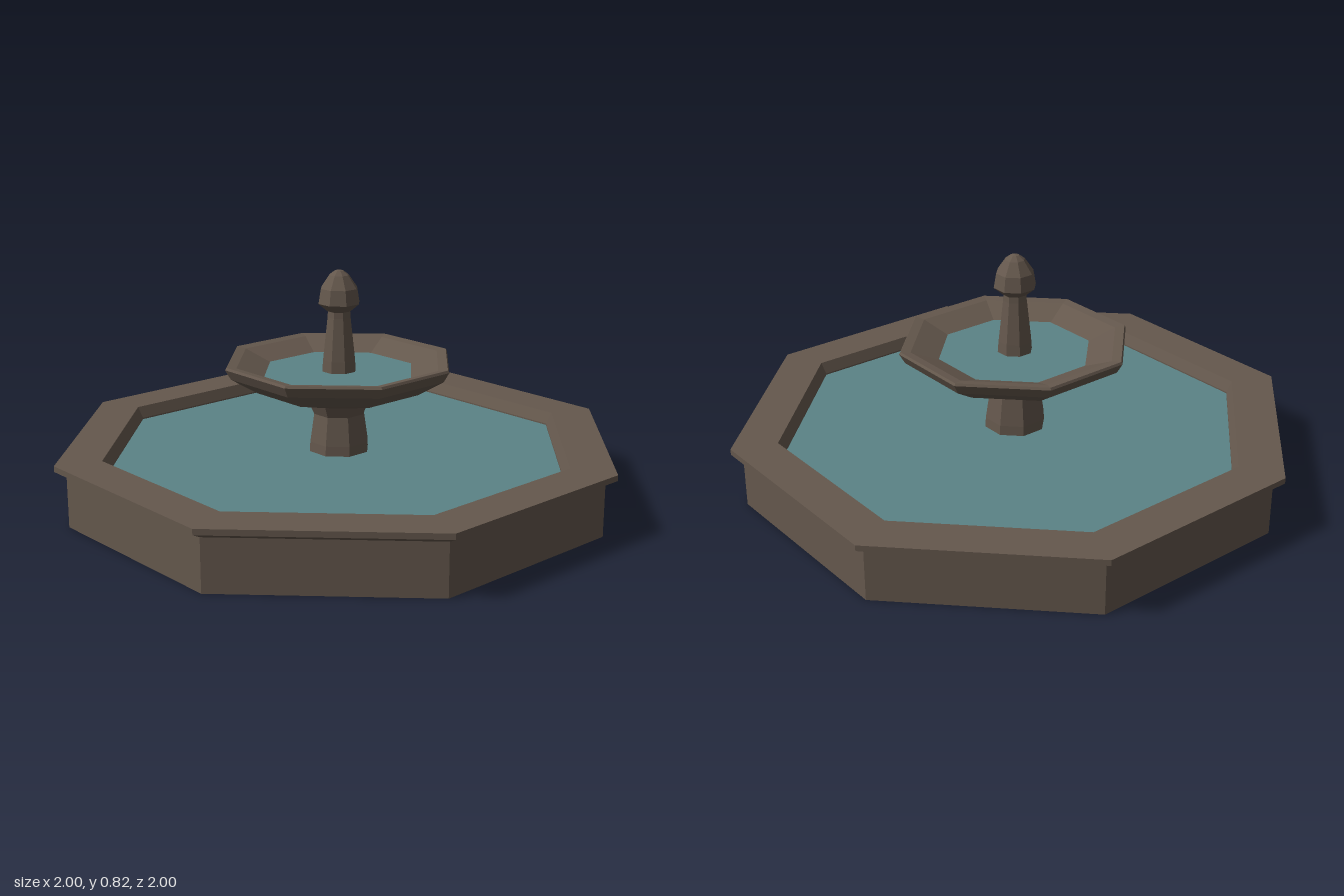
import * as THREE from 'three';

const SIDES = 8;

export function createModel() {
  const stone = new THREE.MeshStandardMaterial({ color: 0x65584d, flatShading: true, side: THREE.DoubleSide });
  stone.name = 'brown stone';
  const water = new THREE.MeshStandardMaterial({ color: 0x5b8386, flatShading: true });
  water.name = 'teal water';

  const fountain = new THREE.Group();
  fountain.name = 'fountain';

  // Eight-sided stone part turned from a [radius, height] profile
  const turned = (name, profile) => {
    const points = profile.map(([r, y]) => new THREE.Vector2(r, y));
    const mesh = new THREE.Mesh(new THREE.LatheGeometry(points, SIDES), stone);
    mesh.name = name;
    fountain.add(mesh);
  };

  // Flat octagonal water surface
  const pool = (name, radius, y) => {
    const mesh = new THREE.Mesh(new THREE.CircleGeometry(radius, SIDES).rotateX(-Math.PI / 2), water);
    mesh.name = name;
    mesh.position.y = y;
    fountain.add(mesh);
  };

  // Basin shell: outer wall, overhanging rim, inner wall and raised floor, open below
  turned('basin', [
    [0.96, 0], [0.96, 0.18], [1, 0.2], [1, 0.22],
    [0.84, 0.22], [0.82, 0.18], [0.82, 0.07], [0, 0.07],
  ]);
  pool('basinWater', 0.82, 0.175);

  // Column with a flared head
  turned('column', [[0.115, 0.07], [0.107, 0.21], [0.092, 0.31], [0.112, 0.355]]);

  // Upper bowl, underside to rim to inside
  turned('bowl', [
    [0, 0.35], [0.11, 0.35], [0.3, 0.405], [0.39, 0.46], [0.41, 0.495], [0.405, 0.503],
    [0.37, 0.498], [0.27, 0.458], [0.1, 0.43], [0, 0.43],
  ]);
  pool('bowlWater', 0.272, 0.46);

  // Tapered stem and bud-shaped finial
  turned('stem', [[0.064, 0.43], [0.059, 0.5], [0.042, 0.65], [0.04, 0.685]]);
  turned('finial', [
    [0, 0.672], [0.042, 0.672], [0.075, 0.7], [0.066, 0.752], [0.035, 0.797], [0.015, 0.812], [0, 0.816],
  ]);

  return fountain;
}
